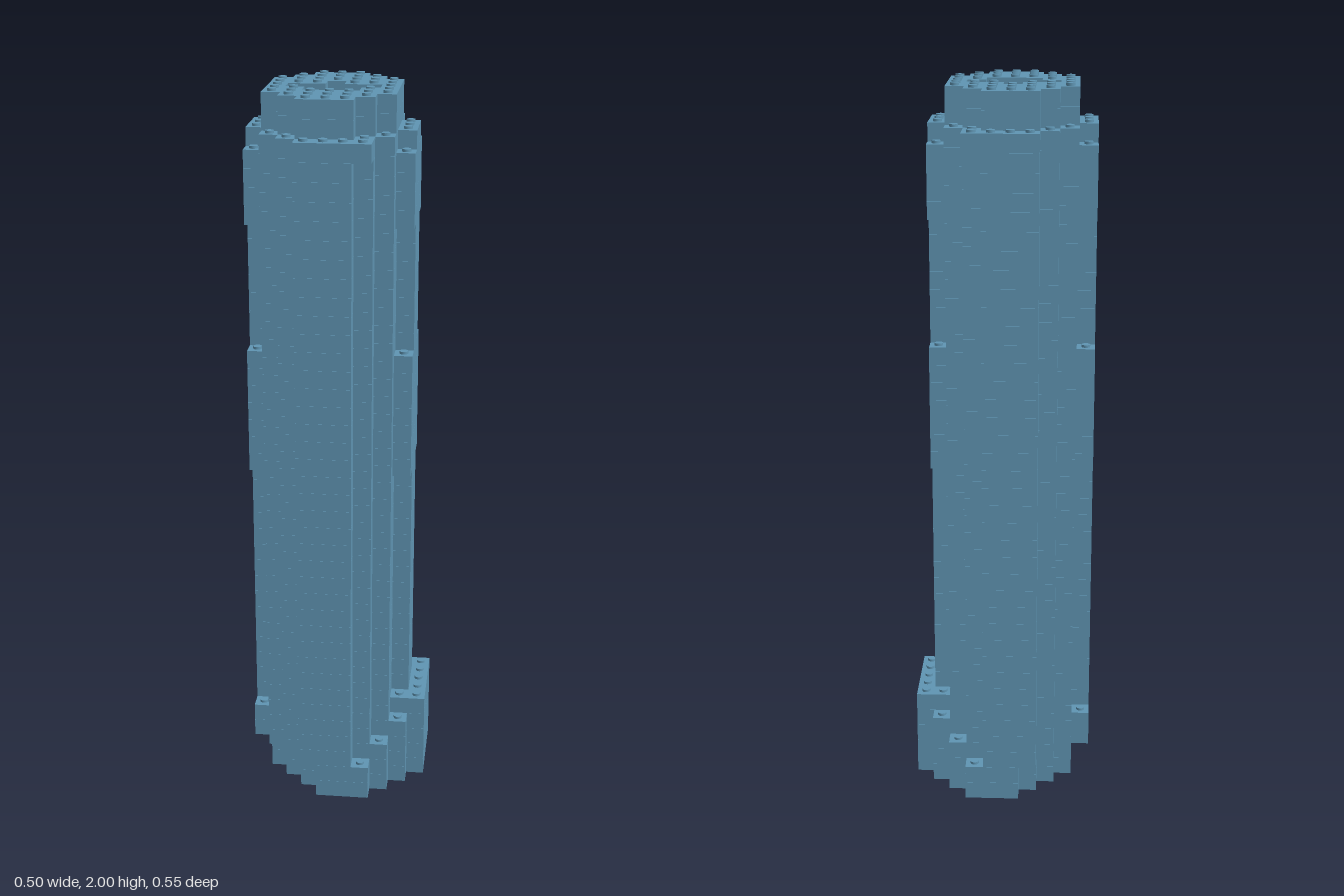
import * as THREE from 'three';
import { mergeGeometries } from 'three/addons/utils/BufferGeometryUtils.js';

const CELL = 0.05, STUD = 0.007, LAYERS = 40;
const H = (2 - STUD) / LAYERS;

// Cells across the rounded plan, by distance of the row from the middle
const PLAN = [9, 9, 9, 7, 5, 3];
const CROWN = [7, 7, 7, 5, 3, 0];
// Layer at which each row of the stepped foot ends
const FOOT_TOP = [5, 5, 5, 4, 3, 2];

const within = (x, centre, count) => Math.abs(x - centre) < count * CELL / 2;

function isFoot(layer, x, r) {
  return layer < FOOT_TOP[r] && within(x, 0.025, PLAN[r]);
}

function isShaft(layer, x, r) {
  if (layer < 2 || layer > 37) return false;
  // Corner columns only stand proud in a few bands
  const proud = layer < 4 || (layer >= 19 && layer < 26) || (layer >= 33 && layer < 37);
  const count = r === 2 && !proud ? 7 : PLAN[r];
  // Lip at the ends of the top shaft layer
  const lip = layer === 37 && r === 5 && Math.abs(x - 0.075) < 0.01;
  return lip || within(x, -0.025, count);
}

function isCrown(layer, x, row) {
  if (layer < 38 || layer >= LAYERS) return false;
  // Small irregular well in the roof
  const well = (row === -1 && within(x, -0.025, 1)) ||
    (row === 0 && within(x, -0.025, 5)) || (row === 1 && within(x, -0.025, 3));
  return !well && within(x, -0.025, CROWN[Math.abs(row)]);
}

function partAt(layer, x, row) {
  const r = Math.abs(row);
  if (isFoot(layer, x, r)) return 'foot';
  if (isShaft(layer, x, r)) return 'shaft';
  if (isCrown(layer, x, row)) return 'crown';
  return null;
}

export function createModel() {
  const group = new THREE.Group();
  const blue = new THREE.MeshStandardMaterial({ color: 0x6096b4 });
  blue.name = 'dusty blue';
  const parts = { foot: [], shaft: [], crown: [], studs: [] };

  for (let layer = 0; layer < LAYERS; layer++) {
    for (let row = -5; row <= 5; row++) {
      const z = row * CELL;
      let start = 0, current = null;
      for (let i = 0; i <= 10; i++) {
        const x = -0.225 + i * CELL;
        const part = i < 10 ? partAt(layer, x, row) : null;
        // One brick for each unbroken run of cells
        if (part !== current) {
          if (current) {
            const n = i - start;
            parts[current].push(new THREE.BoxGeometry(n * CELL, H - 0.0004, CELL)
              .translate(-0.25 + (start + n / 2) * CELL, (layer + 0.5) * H, z));
          }
          start = i;
          current = part;
        }
        // Studs on every exposed top
        if (part && !partAt(layer + 1, x, row)) {
          parts.studs.push(new THREE.CylinderGeometry(0.0118, 0.0118, STUD, 16)
            .translate(x, (layer + 1) * H + STUD / 2, z));
        }
      }
    }
  }

  for (const [name, list] of Object.entries(parts)) {
    const mesh = new THREE.Mesh(mergeGeometries(list), blue);
    mesh.name = name;
    group.add(mesh);
  }
  return group;
}
